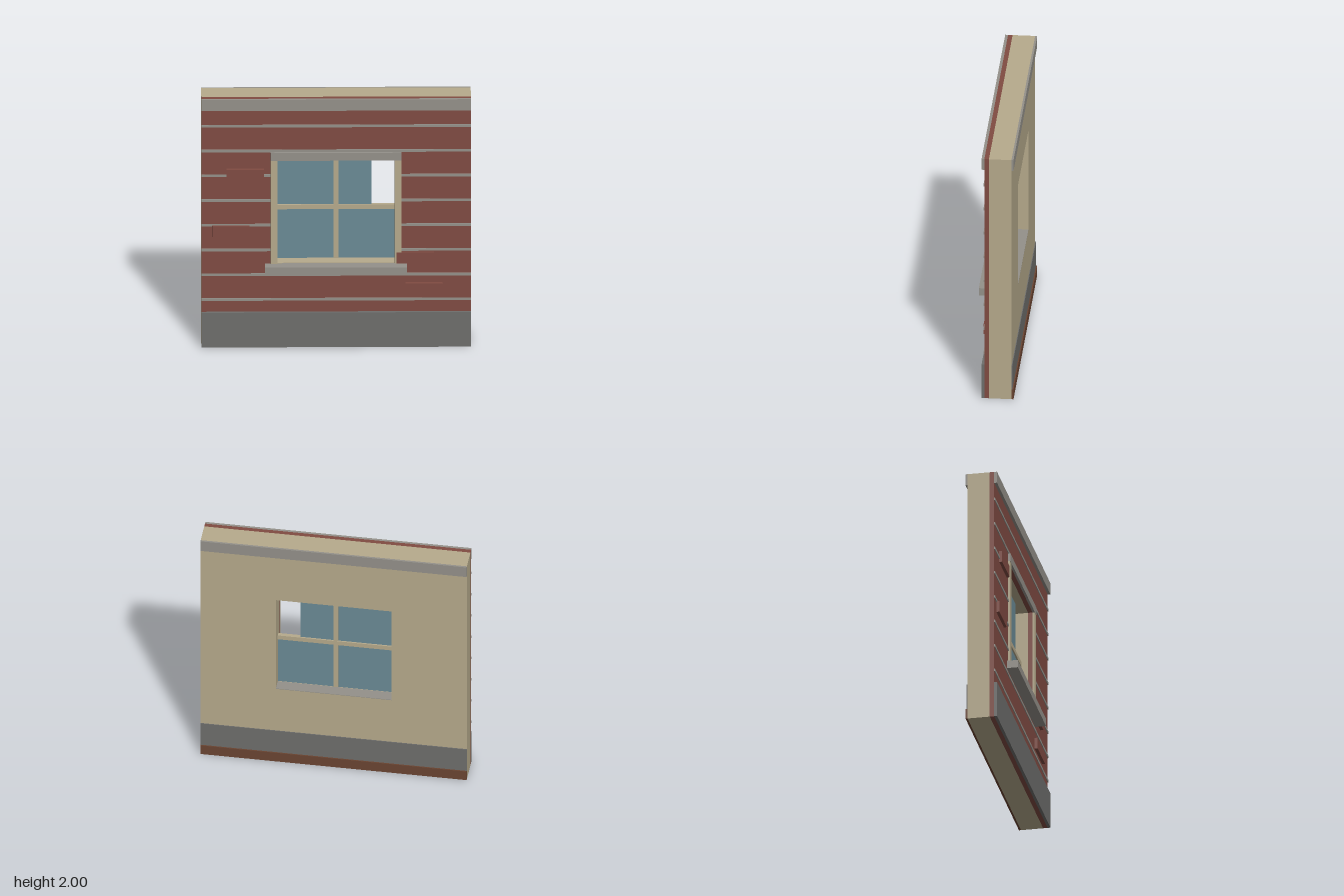
import * as THREE from 'three';

const material = (name, color) => {
  const m = new THREE.MeshStandardMaterial({ color });
  m.name = name;
  return m;
};

export function createModel() {
  const group = new THREE.Group();
  const plaster = material('plaster', 0xb6aa8c);
  const brick = material('brick', 0x804b42);
  const stone = material('stone', 0x94918a);
  const darkStone = material('dark stone', 0x6e6e6c);
  const glass = material('glass', 0x6b8b96);
  const wood = material('brown wood', 0x6b4532);

  // Window opening
  const W = 0.435, Y0 = 0.67, Y1 = 1.505;

  const add = (name, geometry, mat) => {
    const mesh = new THREE.Mesh(geometry, mat);
    mesh.name = name;
    group.add(mesh);
    return mesh;
  };

  // Box given by its limits on each axis
  const box = (name, mat, x0, x1, y0, y1, z0, z1) => {
    const g = new THREE.BoxGeometry(x1 - x0, y1 - y0, z1 - z0);
    g.translate((x0 + x1) / 2, (y0 + y1) / 2, (z0 + z1) / 2);
    return add(name, g, mat);
  };

  // Wall layer with the window cut out
  const layer = (name, mat, z0, z1) => {
    const shape = new THREE.Shape();
    shape.moveTo(-1, 0).lineTo(1, 0).lineTo(1, 2).lineTo(-1, 2).closePath();
    const hole = new THREE.Path();
    hole.moveTo(-W, Y0).lineTo(-W, Y1).lineTo(W, Y1).lineTo(W, Y0).closePath();
    shape.holes.push(hole);
    const g = new THREE.ExtrudeGeometry(shape, { depth: z1 - z0, bevelEnabled: false });
    g.translate(0, 0, z0);
    add(name, g, mat);
  };
  layer('innerWall', plaster, -0.135, 0.033);
  layer('brickFacing', brick, 0.033, 0.067);

  // Cornice, plinth and skirting on both faces
  box('corniceFront', stone, -1, 1, 1.91, 2, 0.067, 0.088);
  box('corniceBack', stone, -1, 1, 1.91, 2, -0.15, -0.135);
  box('plinthFront', darkStone, -1, 1, 0, 0.28, 0.067, 0.088);
  box('plinthBack', darkStone, -1, 1, 0.08, 0.28, -0.141, -0.135);
  box('skirting', wood, -1, 1, 0, 0.08, -0.15, -0.135);

  // Mortar courses, interrupted by the window
  for (let i = 0; i < 8; i++) {
    const y = 0.38 + i * 0.2;
    const spans = y > 0.65 && y < 1.55 ? [[-1, -0.46], [0.46, 1]] : [[-1, 1]];
    for (const [a, b] of spans) box('mortarCourse', stone, a, b, y - 0.01, y + 0.01, 0.067, 0.073);
  }

  // Raised bricks
  for (const [x, y] of [[-0.675, 1.392], [-0.78, 0.935], [0.588, 0.718], [0.652, 0.47]]) {
    box('raisedBrick', brick, x - 0.139, x + 0.139, y - 0.044, y + 0.044, 0.067, 0.09);
  }

  // Window surround
  for (const s of [-1, 1]) {
    const a = s * W, b = s * 0.485;
    box('windowJamb', plaster, Math.min(a, b), Math.max(a, b), Y0, Y1, 0.067, 0.083);
  }
  box('lintel', stone, -0.485, 0.485, Y1, 1.568, 0.067, 0.085);
  box('outerSill', stone, -0.527, 0.527, 0.61, Y0, 0.067, 0.15);
  box('innerSill', stone, -W, W, Y0, Y0 + 0.004, -0.135, -0.045);
  box('sillBoard', plaster, -W, W, Y0, Y0 + 0.004, -0.025, 0.067);

  // Glazing bars and panes, the upper right pane being broken short
  box('verticalBar', plaster, -0.018, 0.018, Y0, Y1, -0.047, -0.018);
  box('horizontalBar', plaster, -W, W, 1.07, 1.106, -0.048, -0.017);
  for (const [x0, x1, y0, y1] of [
    [-W, -0.018, Y0, 1.07], [0.018, W, Y0, 1.07],
    [-W, -0.018, 1.106, Y1], [0.018, 0.265, 1.106, Y1],
  ]) box('windowPane', glass, x0, x1, y0, y1, -0.037, -0.028);

  return group;
}
